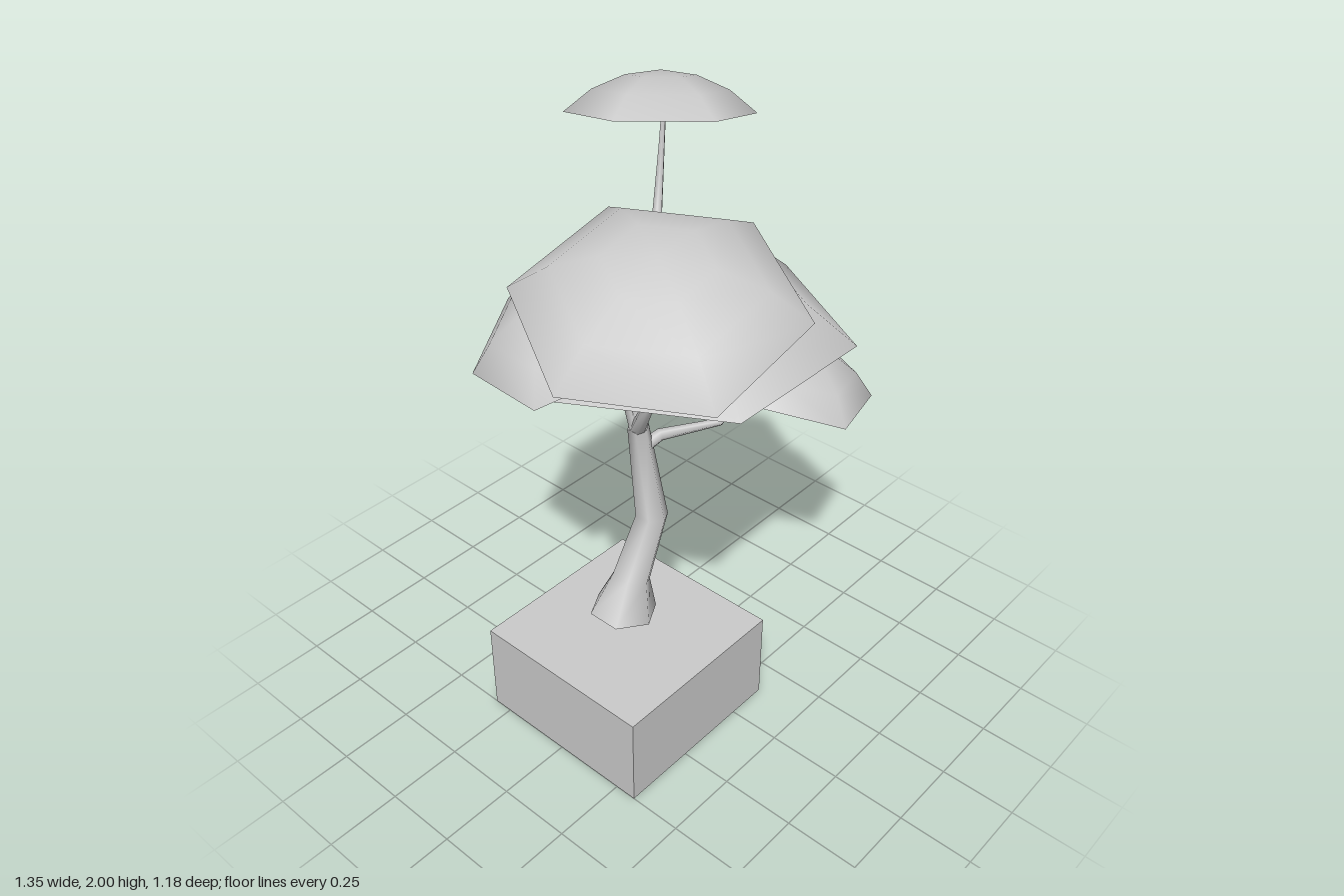
import * as THREE from 'three';
import { toCreasedNormals } from 'three/addons/utils/BufferGeometryUtils.js';

const material = new THREE.MeshStandardMaterial({ color: 0xcccccc });
const leafMaterial = new THREE.MeshStandardMaterial({ color: 0xcccccc, side: THREE.DoubleSide });

// Six-sided tapered limb through points [x, y, z, radius]; baseNormal tilts the first ring.
function limb(name, points, baseNormal) {
  const n = points.length - 1;
  const centres = points.map(([x, y, z]) => new THREE.Vector3(x, y, z));
  const frames = centres.map((c, i) => {
    const t = new THREE.Vector3();
    if (i > 0) t.add(c.clone().sub(centres[i - 1]).normalize());
    if (i < n) t.add(centres[i + 1].clone().sub(c).normalize());
    if (i === 0 && baseNormal) t.set(...baseNormal);
    t.normalize();
    const b = new THREE.Vector3(0, 0, 1).addScaledVector(t, -t.z).normalize();
    return { a: t.clone().cross(b), b };
  });
  const geometry = new THREE.CylinderGeometry(1, 1, 1, 6, n);
  const pos = geometry.attributes.position;
  for (let i = 0; i < pos.count; i++) {
    const row = Math.round((pos.getY(i) + 0.5) * n);
    const r = points[row][3];
    const v = centres[row].clone()
      .addScaledVector(frames[row].a, pos.getX(i) * r)
      .addScaledVector(frames[row].b, pos.getZ(i) * r);
    pos.setXYZ(i, v.x, v.y, v.z);
  }
  const mesh = new THREE.Mesh(toCreasedNormals(geometry, 1.25), material);
  mesh.name = name;
  return mesh;
}

// Open hexagonal dome: rim centre, rim radius, slope of the rim along x and z, heading of one corner.
function canopy(name, centre, radius, slopeX, slopeZ, heading) {
  const arc = 0.806;
  const R = radius / Math.sin(arc);
  const geometry = new THREE.SphereGeometry(R, 6, 3, 0, Math.PI * 2, 0, arc);
  geometry.translate(0, -R * Math.cos(arc), 0);
  const c = Math.cos(heading), s = Math.sin(heading);
  const u = new THREE.Vector3(c, slopeX * c + slopeZ * s, s).normalize();
  const up = new THREE.Vector3(-slopeX, 1, -slopeZ).normalize();
  const w = u.clone().cross(up);
  geometry.applyMatrix4(new THREE.Matrix4().makeBasis(u, up, w).setPosition(...centre));
  const mesh = new THREE.Mesh(geometry, leafMaterial);
  mesh.name = name;
  return mesh;
}

export function createModel() {
  const model = new THREE.Group();
  model.name = 'bonsaiTree';

  // Square planter below the floating trunk
  const planter = new THREE.Mesh(new THREE.BoxGeometry(0.64, 0.325, 0.64), material);
  planter.name = 'planter';
  planter.position.set(-0.18, 0.1625, 0.004);
  model.add(planter);

  // Crooked trunk with a flared foot
  model.add(limb('trunk', [
    [-0.192, 0.404, 0, 0.112], [-0.152, 0.52, 0, 0.066],
    [-0.052, 0.717, 0, 0.055], [-0.112, 1.09, 0, 0.034],
  ], [0.11, 1, 0]));

  // Branches, each ending inside its dome
  const branches = {
    middleBranch: [[-0.112, 1.06, 0, 0.03], [-0.116, 1.3, 0, 0.021], [-0.116, 1.53, 0, 0.012]],
    highBranch: [
      [-0.11, 1.06, 0, 0.03], [0.02, 1.23, -0.09, 0.025], [0.262, 1.53, -0.26, 0.018],
      [0.36, 1.75, -0.325, 0.01], [0.37, 1.94, -0.32, 0.006],
    ],
    frontBranch: [
      [-0.115, 1.08, 0, 0.025], [-0.195, 1.27, 0.125, 0.018], [-0.206, 1.52, 0.135, 0.013],
      [-0.218, 1.63, 0.15, 0.009], [-0.25, 1.76, 0.2, 0.006],
    ],
    backBranch: [
      [-0.112, 1.07, 0, 0.025], [-0.14, 1.25, -0.03, 0.018],
      [-0.25, 1.37, -0.09, 0.013], [-0.29, 1.5, -0.12, 0.008],
    ],
    lowBranch: [
      [-0.1, 1.0, 0, 0.025], [-0.04, 1.033, 0.025, 0.02], [0.158, 1.014, 0.1, 0.013],
      [0.235, 1.1, 0.135, 0.01], [0.32, 1.18, 0.165, 0.006],
    ],
  };
  for (const [name, points] of Object.entries(branches)) model.add(limb(name, points));

  // Leaf domes
  model.add(
    canopy('mainCanopy', [0.06, 1.36, 0], 0.54, 0, 0, 0),
    canopy('frontCanopy', [-0.283, 1.668, 0.238], 0.408, 0.226, -0.19, -0.013),
    canopy('highCanopy', [0.347, 1.865, -0.318], 0.296, -0.215, 0.177, -0.225),
    canopy('lowCanopy', [0.404, 1.109, 0.184], 0.286, -0.238, -0.25, -0.303),
    canopy('backCanopy', [-0.268, 1.447, -0.12], 0.306, 0.409, 0.145, -1.43),
  );
  return model;
}
